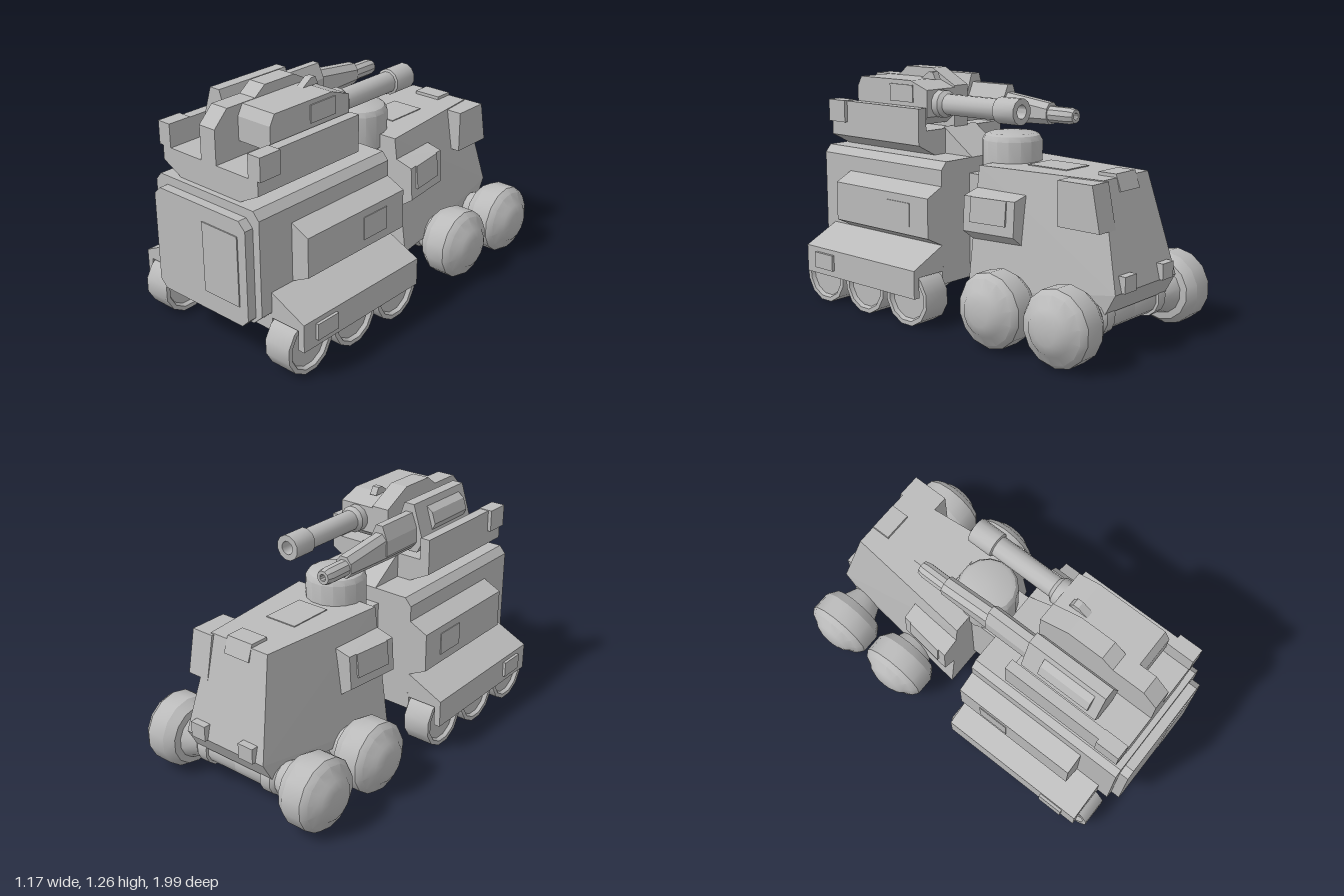
import * as THREE from 'three';
import { toCreasedNormals } from 'three/addons/utils/BufferGeometryUtils.js';
import { ConvexGeometry } from 'three/addons/geometries/ConvexGeometry.js';

export function createModel() {
  const model = new THREE.Group();
  const grey = new THREE.MeshStandardMaterial({ color: 0xbbbbbb });
  grey.name = 'armour grey';

  const add = (name, geometry) => {
    const mesh = new THREE.Mesh(geometry, grey);
    mesh.name = name;
    model.add(mesh);
    return mesh;
  };
  // box from its limits on each axis
  const box = (name, x0, x1, y0, y1, z0, z1) =>
    add(name, new THREE.BoxGeometry(x1 - x0, y1 - y0, z1 - z0)
      .translate((x0 + x1) / 2, (y0 + y1) / 2, (z0 + z1) / 2));
  const hull = (name, pts) => add(name, new ConvexGeometry(pts.map(p => new THREE.Vector3(...p))));
  const shape = pts => new THREE.Shape(pts.map(p => new THREE.Vector2(...p)));
  // x,y outline extruded along z
  const alongZ = (name, pts, z0, z1) =>
    add(name, new THREE.ExtrudeGeometry(shape(pts), { depth: z1 - z0, bevelEnabled: false }).translate(0, 0, z0));
  // z,y outline extruded along x
  const alongX = (name, pts, x0, x1) =>
    add(name, new THREE.ExtrudeGeometry(shape(pts.map(([z, y]) => [-z, y])), { depth: x1 - x0, bevelEnabled: false })
      .rotateY(Math.PI / 2).translate(x0, 0, 0));
  const octagon = (w, y0, y1, c) => [
    [-w + c, y0], [w - c, y0], [w, y0 + c], [w, y1 - c], [w - c, y1], [-w + c, y1], [-w, y1 - c], [-w, y0 + c]];
  // turned part from [radius, height] pairs
  const turned = (pts, n) => toCreasedNormals(
    new THREE.LatheGeometry(pts.map(p => new THREE.Vector2(...p)), n, Math.PI / n), 0.55);

  // rear carriage
  alongZ('rearHull', [[-0.29, 0.25], [0.29, 0.25], [0.345, 0.3], [0.345, 0.79], [0.31, 0.83],
    [-0.31, 0.83], [-0.345, 0.79], [-0.345, 0.3]], 0.05, 0.945);
  box('bellyPlate', -0.345, 0.345, 0.2, 0.29, 0.05, 0.88);
  alongZ('doorFrame', octagon(0.305, 0.245, 0.785, 0.04), 0.945, 0.994);
  box('door', 0.025, 0.255, 0.345, 0.705, 0.992, 1.0);
  for (const s of [1, -1]) {
    const m = pts => pts.map(([x, y]) => [s * x, y]);
    const sideBox = (name, x0, x1, ...r) => box(name, Math.min(s * x0, s * x1), Math.max(s * x0, s * x1), ...r);
    alongZ('sponson', m([[0.34, 0.71], [0.445, 0.66], [0.445, 0.455], [0.34, 0.403]]), 0.05, 0.74);
    sideBox('sponsonWindow', 0.44, 0.449, 0.5, 0.62, 0.18, 0.35);
    alongZ('fender', m([[0.34, 0.407], [0.545, 0.31], [0.545, 0.165], [0.51, 0.165], [0.51, 0.27], [0.34, 0.27]]), 0.05, 0.88);
    sideBox('fenderLamp', 0.54, 0.56, 0.2, 0.285, 0.66, 0.8);

    // rear wheels with dished rims, and their struts
    for (const z of [0.79, 0.473, 0.155]) {
      const w = add('rearWheel', turned([[0, 0.02], [0.115, 0.02], [0.125, 0], [0.148, 0], [0.148, 0.15],
        [0.125, 0.15], [0.115, 0.13], [0, 0.13]], 12).rotateZ(-s * Math.PI / 2));
      w.position.set(s * 0.35, 0.145, z);
      hull('strut', [-0.03, 0.03].flatMap(d => [[s * 0.37, 0.11, z + d], [s * 0.37, 0.19, z + d],
        [s * 0.15, 0.19, z + d], [s * 0.15, 0.22, z + d]]));
    }

    // cab wheels with bulging hubs and flared axle ends
    for (const z of [-0.41, -0.81]) {
      const w = add('cabWheel', turned([[0, 0], [0.085, 0], [0.085, 0.18], [0.1, 0.18], [0.1, 0.24], [0.085, 0.26],
        [0.12, 0.34], [0.155, 0.345], [0.187, 0.395], [0.187, 0.5], [0.165, 0.53], [0.12, 0.55],
        [0.105, 0.565], [0.06, 0.58], [0, 0.583]], 14).rotateZ(-s * Math.PI / 2));
      w.position.set(0, 0.193, z);
    }

    // cab side boxes, tapering with the cab walls
    hull('cabSideBox', [[0.25, 0.72, -0.12], [0.36, 0.69, -0.12], [0.37, 0.515, -0.12], [0.28, 0.45, -0.12],
      [0.2, 0.72, -0.415], [0.325, 0.69, -0.415], [0.335, 0.515, -0.415], [0.25, 0.45, -0.415]]
      .map(([x, y, z]) => [s * x, y, z]));
    hull('cabSideWindow', [[0.362, 0.69, -0.165], [0.373, 0.565, -0.165], [0.336, 0.69, -0.37], [0.347, 0.565, -0.37]]
      .flatMap(([x, y, z]) => [[s * x, y, z], [s * (x - 0.02), y, z]]));
    sideBox('cabLamp', 0.11, 0.2, 0.32, 0.4, -0.973, -0.93);

    // turret side walls
    sideBox('turretWall', 0.26, 0.315, 0.95, 1.08, 0.24, 0.915);
    sideBox('turretWallEnd', 0.258, 0.335, 0.965, 1.083, 0.79, 0.918);
  }

  // cab
  hull('cab', [1, -1].flatMap(s => [[s * 0.335, 0.2, -0.12], [s * 0.25, 0.825, -0.12],
    [s * 0.18, 0.825, -0.825], [s * 0.25, 0.32, -0.955], [s * 0.25, 0.22, -0.9]]));
  alongX('cabSideLocker', [[-0.64, 0.82], [-0.84, 0.82], [-0.885, 0.6], [-0.64, 0.6]], 0.16, 0.285);
  alongX('cabTopLamp', [[-0.72, 0.82], [-0.72, 0.842], [-0.82, 0.842], [-0.85, 0.76], [-0.82, 0.76]], -0.08, 0.075);
  box('cabHatch', -0.09, 0.09, 0.822, 0.83, -0.54, -0.3);

  // joint between cab and rear carriage
  box('joint', -0.14, 0.14, 0.27, 0.75, -0.15, 0.06);
  add('jointDrum', turned([[0, 0], [0.155, 0], [0.155, 0.18], [0.14, 0.205], [0.12, 0.215], [0, 0.22]], 16))
    .position.set(0, 0.75, -0.12);

  // turret base, nose wedge and central fin
  alongZ('turretBase', [[-0.2, 0.83], [0.2, 0.83], [0.315, 0.89], [0.315, 0.962],
    [-0.315, 0.962], [-0.315, 0.89]], 0.24, 0.915);
  alongX('turretNose', [[0.25, 0.82], [0.25, 0.97], [0.05, 0.83], [0.05, 0.82]], -0.12, 0.12);
  alongX('turretFin', [[0.915, 0.95], [0.915, 1.135], [0.835, 1.215], [0.66, 1.215], [0.595, 1.264], [0.4, 1.264],
    [0.24, 1.18], [0.24, 0.95]], -0.05, 0.05);

  // heavy gun on the left
  alongX('heavyGunHousing', [[0.77, 1.04], [0.77, 1.16], [0.74, 1.213], [0.36, 1.213], [0.24, 1.17],
    [0.24, 1.03], [0.3, 0.985], [0.68, 0.985]], 0.05, 0.253);
  box('heavyGunWindow', 0.25, 0.259, 1.1, 1.19, 0.34, 0.51);
  hull('heavyGunSight', [0.08, 0.12].flatMap(x => [[x, 1.21, 0.31], [x, 1.21, 0.42], [x, 1.25, 0.33], [x, 1.25, 0.36]]));
  add('heavyGunBarrel', turned([[0, 0], [0.072, 0], [0.072, 0.05], [0.055, 0.07], [0.055, 0.42], [0.067, 0.425],
    [0.067, 0.56], [0.035, 0.56], [0.035, 0.49], [0, 0.49]], 12).rotateX(-Math.PI / 2))
    .position.set(0.152, 1.095, 0.25);

  // long gun on the right
  alongZ('longGunHousing', [[-0.185, 1.23], [-0.125, 1.23], [-0.06, 1.04], [-0.095, 0.975],
    [-0.21, 0.975], [-0.245, 1.04]], 0.28, 0.72);
  alongZ('longGunSidePod', [[-0.19, 1.2], [-0.23, 1.17], [-0.25, 1.11], [-0.22, 1.05], [-0.16, 1.05]], 0.38, 0.67);
  alongZ('longGunSleeve', [[-0.175, 1.185], [-0.135, 1.185], [-0.1, 1.11], [-0.1, 1.03],
    [-0.205, 1.03], [-0.205, 1.11]], 0.03, 0.35);
  const barrelEnd = (z, y0, y1) => [[-0.2, y0 + 0.03, z], [-0.175, y0, z], [-0.135, y0, z], [-0.11, y0 + 0.03, z],
    [-0.11, y1 - 0.03, z], [-0.135, y1, z], [-0.175, y1, z], [-0.2, y1 - 0.03, z]];
  hull('longGunBarrel', [...barrelEnd(0.3, 0.99, 1.15), ...barrelEnd(0.08, 0.99, 1.15), ...barrelEnd(-0.25, 1.0, 1.11)]);
  add('longGunMuzzle', turned([[0, 0], [0.043, 0], [0.043, 0.13], [0.035, 0.16], [0.018, 0.16],
    [0.018, 0.1], [0, 0.1]], 10).rotateX(-Math.PI / 2)).position.set(-0.155, 1.052, -0.245);

  return model;
}
